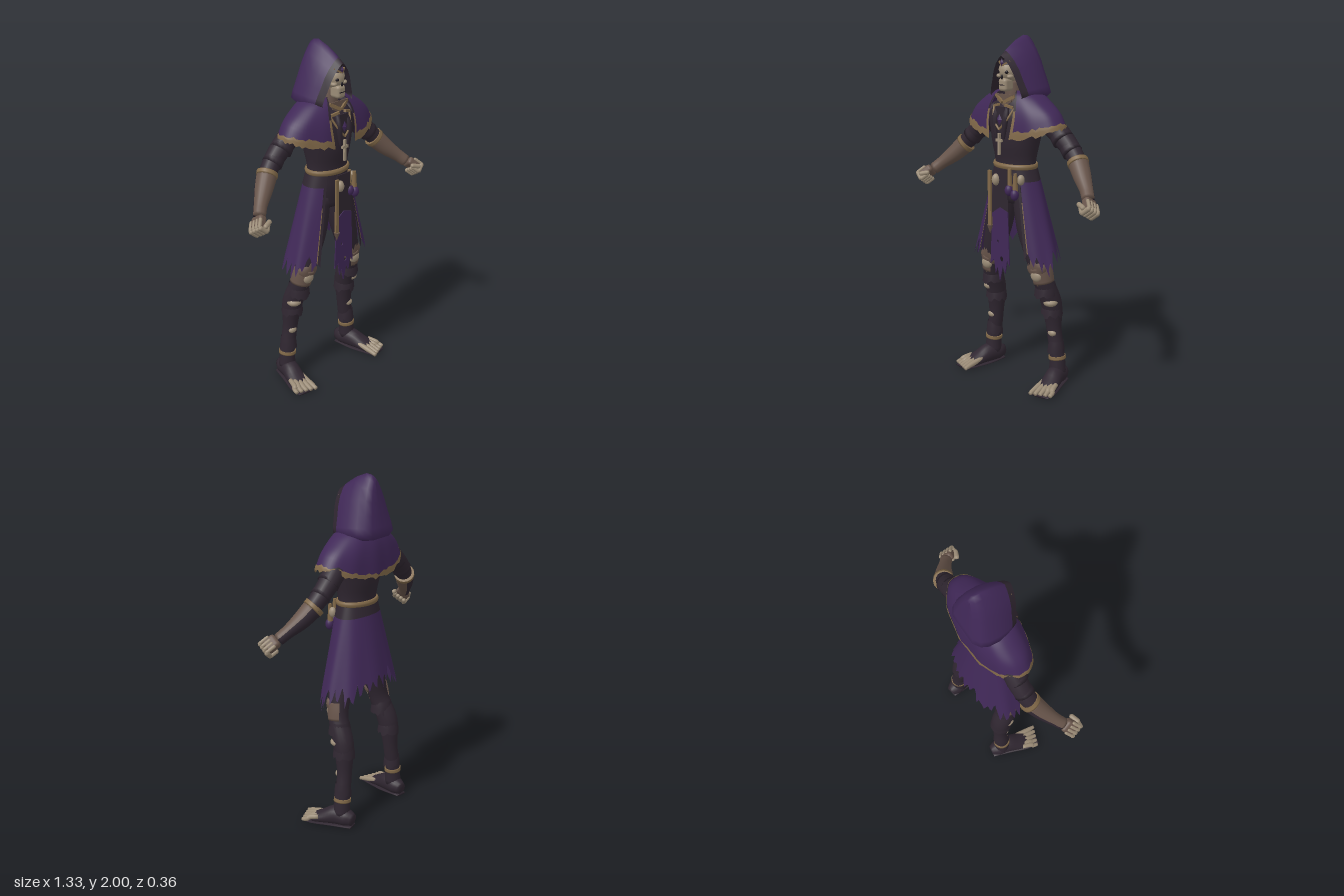
import * as THREE from 'three';
import { mergeVertices } from 'three/addons/utils/BufferGeometryUtils.js';
import { RoundedBoxGeometry } from 'three/addons/geometries/RoundedBoxGeometry.js';

const V = (x, y, z) => new THREE.Vector3(x, y, z);
const lerp = THREE.MathUtils.lerp;
const RAD = Math.PI / 180;
const rnd = (i) => { const s = Math.sin(i * 12.9898 + 4.1) * 43758.5453; return s - Math.floor(s); };
const soft = (c, p) => Math.sign(c) * Math.abs(c) ** p;

const mat = (name, color) => {
  const m = new THREE.MeshStandardMaterial({ color, side: THREE.DoubleSide });
  m.name = name;
  return m;
};

// grid surface from f(u, v), both 0..1
function surf(nu, nv, f) {
  const pos = [], idx = [];
  for (let j = 0; j <= nv; j++) for (let i = 0; i <= nu; i++) pos.push(...f(i / nu, j / nv).toArray());
  for (let j = 0; j < nv; j++) for (let i = 0; i < nu; i++) {
    const a = j * (nu + 1) + i, b = a + 1, c = a + nu + 1, d = c + 1;
    idx.push(a, b, d, a, d, c);
  }
  let g = new THREE.BufferGeometry();
  g.setAttribute('position', new THREE.Float32BufferAttribute(pos, 3));
  g.setIndex(idx);
  g = mergeVertices(g, 1e-5);
  g.computeVertexNormals();
  return g;
}

// capped elliptical loft through [x, y, z, r1, r2] stations, over an arc in degrees
function limb(pts, n = 16, ref = V(0, 0, 1), from = 0, to = 360) {
  const path = new THREE.CatmullRomCurve3(pts.map((p) => V(p[0], p[1], p[2])));
  const rad = new THREE.CatmullRomCurve3(pts.map((p) => V(p[3], p[4] ?? p[3], 0)));
  const rows = (pts.length - 1) * 4;
  return surf(n, rows + 2, (u, v) => {
    const row = Math.round(v * (rows + 2));
    const t = THREE.MathUtils.clamp((row - 1) / rows, 0, 1);
    const c = path.getPoint(t), r = rad.getPoint(t), d = path.getTangent(t);
    const side = d.clone().cross(ref).normalize(), up = side.clone().cross(d);
    const k = row === 0 || row === rows + 2 ? 0 : 1, a = (lerp(from, to, u) % 360) * RAD;
    return c.addScaledVector(side, k * r.x * Math.cos(a)).addScaledVector(up, k * r.y * Math.sin(a));
  });
}

export function createModel() {
  const root = new THREE.Group();
  root.name = 'hoodedSkeleton';
  const purple = mat('purpleCloth', 0x402857), dark = mat('darkWrap', 0x2f2630), tan = mat('tanTrim', 0x806848);
  const brown = mat('brownLeather', 0x67544a), bone = mat('bone', 0x9a8b76), black = mat('shadowBlack', 0x1b161d);
  const UP = V(0, 1, 0), FRONT = V(0, 0, 1);

  const add = (name, geo, m, p, r, s) => {
    const mesh = new THREE.Mesh(geo, m);
    mesh.name = name;
    if (p) mesh.position.set(...p);
    if (r) mesh.rotation.set(...r);
    if (s) mesh.scale.set(...s);
    root.add(mesh);
  };
  const ball = (name, m, p, s) => add(name, new THREE.SphereGeometry(1, 16, 12), m, p, null, s);

  // torso, neck and belt
  add('torso', limb([[0, 1.08, 0.02, 0.12, 0.085], [0, 1.2, 0.02, 0.14, 0.1], [0, 1.3, 0.02, 0.13, 0.092],
    [0, 1.42, 0.018, 0.15, 0.112], [0, 1.55, 0.01, 0.178, 0.116], [0, 1.63, 0, 0.145, 0.095], [0, 1.69, 0.01, 0.07, 0.06]], 28), dark);
  add('neck', limb([[0, 1.62, 0.03, 0.055], [0, 1.7, 0.04, 0.045], [0, 1.76, 0.045, 0.035]]), brown);
  add('belt', limb([[0, 1.275, 0.02, 0.137, 0.103], [0, 1.29, 0.02, 0.141, 0.107], [0, 1.303, 0.02, 0.136, 0.102]], 28), tan);

  // skirt wrapped round the hips with a ragged hem
  const skirtPoint = (deg, v) => {
    const i = Math.round(deg / 3), a = deg * RAD, c = Math.cos(a);
    const base = c < 0 ? 0.68 + 0.1 * c * c : 0.68;
    const jag = 0.1 * rnd(Math.floor(i / 4)) + [0, 0.045, 0.08, 0.03][i % 4] * (0.5 + 0.7 * rnd(i));
    const y = 1.275 - (1.275 - base) * v + jag * v ** 6;
    const k = (1.275 - y) / 0.56, fold = 1 + 0.02 * k * Math.sin(a * 9);
    const rz = c > 0 ? 0.112 + 0.042 * k : 0.09 + 0.107 * k;
    return V((0.137 + 0.163 * k) * Math.sin(a) * fold, y, 0.012 + rz * c * fold);
  };
  const skirt = (name, m, a, b, v0, v1) =>
    add(name, surf(Math.max(1, Math.round((b - a) / 3)), 12, (u, v) => skirtPoint(lerp(a, b, u), lerp(v0, v1, v))), m);
  skirt('skirtYoke', dark, 36, 324, 0, 0.11);
  skirt('skirt', purple, 42, 318, 0.11, 1);
  for (const flip of [(a) => a, (a) => 360 - a]) {
    skirt('skirtEdge', dark, ...[flip(36), flip(40.5)].sort((a, b) => a - b), 0.11, 0.95);
    skirt('skirtEdgeTrim', tan, ...[flip(40.5), flip(42)].sort((a, b) => a - b), 0.3, 0.92);
  }

  // hanging front cloth
  const plate = (pts, holes = []) => {
    const sh = new THREE.Shape(pts.map((p) => new THREE.Vector2(...p)));
    for (const [x, y, r] of holes) sh.holes.push(new THREE.Path().absellipse(x, y, r, r * 1.3, 0, Math.PI * 2));
    return new THREE.ExtrudeGeometry(sh, { depth: 0.006, bevelEnabled: false });
  };
  add('frontClothTop', plate([[-0.05, 1.28], [0.05, 1.28], [0.06, 1.04], [0, 1.06], [-0.058, 1.02]]), dark, [0, 0, 0.143]);
  add('frontCloth', plate([[-0.058, 1.02], [0, 1.06], [0.06, 1.04], [0.072, 0.73], [0.055, 0.76], [0.04, 0.68], [0.022, 0.72],
    [0, 0.63], [-0.018, 0.71], [-0.032, 0.67], [-0.045, 0.75], [-0.072, 0.72]], [[0.012, 0.76, 0.012], [-0.015, 0.86, 0.007]]), purple, [0, 0, 0.148]);

  // belt hangings
  add('strap', new THREE.BoxGeometry(0.022, 0.33, 0.012), tan, [-0.066, 1.1, 0.162]);
  add('strapTip', new THREE.ConeGeometry(0.018, 0.05, 8), brown, [-0.066, 0.925, 0.162], [Math.PI, 0, 0]);
  ball('beltSkull', bone, [-0.03, 1.215, 0.15], [0.024, 0.034, 0.024]);
  ball('beltSkull', bone, [0.115, 1.225, 0.105], [0.02, 0.03, 0.022]);
  for (const [x, y] of [[0.058, 1.165], [0.1, 1.145]]) {
    ball('pouch', purple, [x, y, 0.14], [0.024, 0.032, 0.024]);
    add('pouchTie', new THREE.CylinderGeometry(0.01, 0.016, 0.1, 8), tan, [x, y + 0.07, 0.135]);
  }

  // shoulder cape, open at the front
  const capeRows = new THREE.CatmullRomCurve3([V(0.09, 1.71, 0.075), V(0.15, 1.692, 0.105), V(0.22, 1.648, 0.13),
    V(0.285, 1.595, 0.144), V(0.326, 1.53, 0.152)]);
  const capePoint = (u, s, out = 1) => {
    const r = capeRows.getPoint(Math.min(s, 1)), open = lerp(30, 13, s) * RAD;
    const a = lerp(open, Math.PI * 2 - open, u), c = Math.cos(a);
    const jag = s >= 1 ? 0.022 * rnd(Math.round(u * 72)) : 0;
    return V(r.x * Math.sin(a) * out, r.y - 0.072 * s * s * c * c - jag,
      0.008 * s + r.z * soft(c, 0.88) * out * (1 + 0.02 * s * Math.sin(a * 11)));
  };
  add('cape', surf(72, 14, (u, v) => capePoint(u, v * 0.98)), purple);
  add('capeHemTrim', surf(72, 3, (u, v) => {
    const top = 0.89 + 0.05 * Math.sin(u * Math.PI) ** 2 + 0.05 * rnd(Math.round(u * 72) + 90);
    return capePoint(u, lerp(top, 1, v), 1.015);
  }), tan);
  for (const s of [0, 1]) {
    add('capeEdge', surf(2, 8, (u, v) => capePoint(Math.abs(s - u * 0.012), v * 0.6, 1.012)), dark);
    add('capeEdgeTrim', surf(2, 6, (u, v) => capePoint(Math.abs(s - u * 0.01), lerp(0.6, 0.98, v), 1.012)), tan);
  }

  // hood: arched sections from the rim to the back
  const arch = [[0, 1], [0.18, 0.935], [0.415, 0.8], [0.62, 0.62], [0.78, 0.4], [0.94, 0.2], [1, 0.08], [0.8, 0]];
  const rows = [[0, 0.74, 1.9], [0.15, 0.87, 1.925], [0.3, 0.96, 1.95], [0.5, 1, 1.978], [0.75, 0.97, 2], [0.9, 0.84, 1.995], [1, 0.58, 1.98], [1, 0, 1.96]];
  const hoodPoint = (u, row, sx = 1, drop = 0, back = 0) => {
    const [t, w, top] = rows[row], k = Math.round(u * 14) - 7, [px, py] = arch[Math.abs(k)];
    const rear = lerp(-0.156, -0.103, py) + (py === 0 ? 0.015 : 0);
    return V(Math.sign(k) * px * w * 0.156 * sx, lerp(1.66, top - drop, py), lerp(lerp(0.095, 0.137, py), rear, t) - back);
  };
  add('hood', surf(14, 6, (u, v) => hoodPoint(u, 1 + Math.round(v * 6))), purple);
  add('hoodRim', surf(14, 1, (u, v) => hoodPoint(u, Math.round(v))), dark);
  add('hoodLining', surf(14, 2, (u, v) => hoodPoint(u, 0, 1 - 0.15 * v, 0.03 * v, 0.16 * v)), dark);
  add('hoodShadow', surf(14, 1, (u, v) => hoodPoint(u, 0, 0.85 * (1 - v), 0.03 + 0.1 * v, 0.16)), dark);

  // skull
  ball('cranium', bone, [0, 1.815, 0.068], [0.057, 0.062, 0.066]);
  add('jaw', new RoundedBoxGeometry(0.06, 0.072, 0.07, 3, 0.018), bone, [0, 1.742, 0.1]);
  add('teethLine', new THREE.BoxGeometry(0.04, 0.004, 0.004), black, [0, 1.742, 0.135]);
  ball('noseHole', black, [0, 1.785, 0.131], [0.007, 0.013, 0.006]);
  add('browCap', new THREE.SphereGeometry(1, 20, 8, 0, Math.PI * 2, 0, 0.9), dark, [0, 1.815, 0.068], [0.12, 0, 0], [0.061, 0.066, 0.07]);
  for (const s of [-1, 1]) {
    ball('eyeSocket', black, [s * 0.024, 1.812, 0.121], [0.012, 0.01, 0.009]);
    ball('cheekbone', bone, [s * 0.038, 1.788, 0.107], [0.017, 0.012, 0.02]);
    add('browBand', new THREE.BoxGeometry(0.05, 0.009, 0.01), tan, [s * 0.022, 1.86, 0.12], [0, s * 0.45, s * 0.5]);
  }
  add('browGem', new THREE.OctahedronGeometry(0.018), purple, [0, 1.864, 0.132], null, [0.7, 1.2, 0.5]);

  // collar and chest ornaments
  add('collar', plate([[-0.062, 1.69], [0.062, 1.69], [0.05, 1.65], [0, 1.625], [-0.05, 1.65]]), brown, [0, 0, 0.108]);
  for (const s of [-1, 1]) {
    add('collarFlap', new THREE.BoxGeometry(0.075, 0.018, 0.01), tan, [s * 0.036, 1.665, 0.116], [0, s * 0.3, s * 0.5]);
    add('clasp', new THREE.BoxGeometry(0.05, 0.014, 0.014), tan, [s * 0.045, 1.628, 0.125], [0, s * 0.3, -s * 0.25]);
    add('chain', new THREE.TubeGeometry(new THREE.CatmullRomCurve3([V(s * 0.075, 1.62, 0.115), V(s * 0.045, 1.55, 0.15), V(0, 1.5, 0.157)]), 12, 0.006, 6), tan);
    add('chestTassel', limb([[s * 0.03, 1.62, 0.125, 0.014], [s * 0.037, 1.56, 0.146, 0.017], [s * 0.027, 1.45, 0.15, 0.008]], 8), dark);
  }
  add('chestPlate', plate([[-0.03, 1.625], [0.03, 1.625], [0.026, 1.5], [0, 1.45], [-0.026, 1.5]]), dark, [0, 0, 0.142]);
  add('chestGem', new THREE.OctahedronGeometry(0.024), purple, [0, 1.555, 0.153], null, [0.8, 1.3, 0.4]);
  add('pendantStem', new THREE.BoxGeometry(0.014, 0.12, 0.014), bone, [0, 1.42, 0.155]);
  add('pendantBar', new THREE.BoxGeometry(0.045, 0.014, 0.014), bone, [0, 1.44, 0.155]);

  for (const s of [1, -1]) {
    const L = (pts) => pts.map(([x, ...r]) => [x * s, ...r]);

    // arm, wraps and bracer, which is dark along its outer back
    add('upperArm', limb(L([[0.14, 1.575, -0.01, 0.058], [0.23, 1.525, -0.022, 0.061], [0.32, 1.45, -0.026, 0.057],
      [0.39, 1.385, -0.018, 0.05], [0.45, 1.32, 0.005, 0.045]])), dark);
    for (const [x, y, z, r] of [[0.295, 1.47, -0.026, 0.063], [0.36, 1.412, -0.024, 0.057]])
      add('armWrap', limb(L([[x - 0.03, y + 0.028, z, r * 0.88], [x + 0.018, y - 0.018, z + 0.005, r]])), dark);
    const bracer = L([[0.42, 1.35, -0.012, 0.057], [0.48, 1.285, 0.025, 0.049], [0.545, 1.225, 0.07, 0.036], [0.58, 1.19, 0.1, 0.034]]);
    add('bracer', limb(bracer, 14, FRONT, -40, 220), brown);
    add('bracerBack', limb(bracer, 8, FRONT, 220, 320), dark);
    add('bracerTrim', limb(L([[0.413, 1.357, -0.015, 0.059], [0.43, 1.339, -0.006, 0.058]])), tan);

    // fist
    const hand = new THREE.Group();
    hand.name = 'hand';
    hand.position.set(0.615 * s, 1.162, 0.13);
    hand.quaternion.setFromUnitVectors(V(0, -1, 0), V(0.6 * s, -0.58, 0.5).normalize());
    const part = (name, g, p, r, m = bone) => {
      const mesh = new THREE.Mesh(g, m);
      mesh.name = name; mesh.position.set(...p); mesh.rotation.set(...r); hand.add(mesh);
    };
    part('palm', new RoundedBoxGeometry(0.05, 0.08, 0.08, 3, 0.018), [0, 0.01, 0], [0, 0, 0], brown);
    for (let i = 0; i < 4; i++) {
      const z = 0.035 - i * 0.023;
      part('knuckle', new THREE.CapsuleGeometry(0.014, 0.04, 4, 8), [-0.008 * s, -0.036, z], [0, 0, Math.PI / 2]);
      part('finger', new THREE.CapsuleGeometry(0.013, 0.035, 4, 8), [-0.034 * s, -0.013, z], [0, 0, 0]);
      part('handBone', new THREE.CapsuleGeometry(0.01, 0.045, 4, 8), [0.02 * s, -0.008, z], [0, 0, 0]);
    }
    part('thumb', new THREE.CapsuleGeometry(0.014, 0.04, 4, 8), [-0.022 * s, 0, 0.046], [0, 0, 0.5 * s]);
    root.add(hand);

    // leg with ragged wraps
    add('leg', limb(L([[0.08, 1.14, 0.015, 0.08, 0.085], [0.115, 0.95, 0.025, 0.078, 0.08], [0.163, 0.78, 0.02, 0.067, 0.067],
      [0.197, 0.64, 0.005, 0.058, 0.056], [0.216, 0.5, -0.045, 0.06, 0.06], [0.228, 0.32, -0.06, 0.044, 0.042],
      [0.25, 0.18, -0.062, 0.044, 0.044], [0.255, 0.07, -0.06, 0.05, 0.05]]), 18), dark);
    for (const [x, y, z, r] of [[0.203, 0.585, -0.01, 0.064], [0.217, 0.46, -0.05, 0.062], [0.243, 0.23, -0.06, 0.049]])
      add('legWrap', surf(24, 3, (u, v) => {
        const a = (u % 1) * Math.PI * 2, q = r * lerp(0.86, 1.03, v);
        return V(s * x + q * Math.cos(a), y + 0.04 - 0.06 * v - (v === 1 ? 0.028 * rnd(Math.round(u * 24) % 24 + y * 100) : 0), z + q * Math.sin(a));
      }), dark);
    add('ankleBand', limb(L([[0.249, 0.178, -0.062, 0.05], [0.251, 0.158, -0.062, 0.051]])), tan);
    add('thighPatch', limb(L([[0.162, 0.8, 0.05, 0.035, 0.036], [0.173, 0.75, 0.048, 0.045, 0.036], [0.188, 0.68, 0.035, 0.045, 0.036],
      [0.198, 0.62, 0.02, 0.036, 0.036]]), 12), brown);
    add('bareKnee', limb(L([[0.18, 0.725, 0.015, 0.066], [0.19, 0.68, 0.008, 0.064], [0.198, 0.63, 0.002, 0.061]]), 10, FRONT,
      s > 0 ? 60 : -40, s > 0 ? 220 : 120), brown);
    ball('kneeBone', bone, [0.19 * s, 0.675, 0.058], [0.038, 0.034, 0.022]);
    ball('shinBone', bone, [0.232 * s, 0.51, -0.018], [0.045, 0.026, 0.043]);
    ball('shinPatch', bone, [0.236 * s, 0.32, -0.03], [0.028, 0.02, 0.02]);

    // foot, sole and bony toes
    add('foot', limb(L([[0.243, 0.05, -0.135, 0.03, 0.036], [0.25, 0.058, -0.09, 0.05, 0.052], [0.262, 0.062, -0.03, 0.052, 0.058],
      [0.283, 0.044, 0.04, 0.055, 0.04], [0.298, 0.028, 0.1, 0.058, 0.024]]), 18, UP), dark);
    add('sole', limb(L([[0.245, 0.012, -0.13, 0.035, 0.008], [0.27, 0.012, 0, 0.055, 0.008], [0.3, 0.012, 0.1, 0.062, 0.007],
      [0.31, 0.012, 0.165, 0.056, 0.006]]), 18, UP), dark);
    for (let i = 0; i < 5; i++) {
      const o = (i - 2) * 0.025, tip = 0.187 - 0.011 * i;
      add('toe', limb(L([[0.29 + o * 0.9, 0.053, 0.05, 0.013], [0.302 + o, 0.04, 0.105, 0.016], [0.308 + o * 1.05, 0.03, tip - 0.03, 0.014],
        [0.312 + o * 1.1, 0.022, tip, 0.011]]), 8, UP), bone);
    }
  }
  return root;
}
